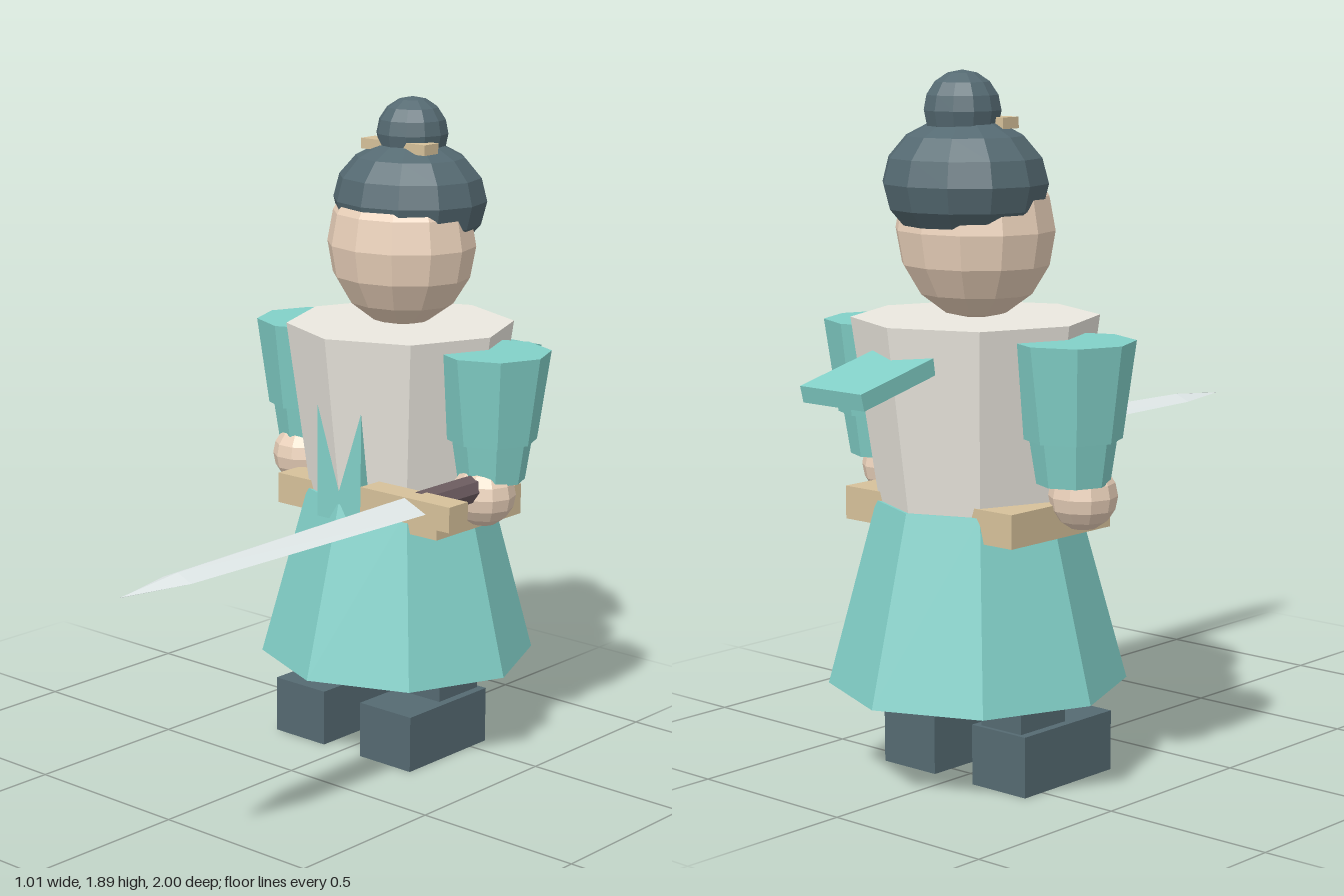
import * as THREE from 'three';

const CZ = -0.468; // z of the body axis
const mat = (color) => new THREE.MeshStandardMaterial({ color, flatShading: true });

export function createModel() {
  const model = new THREE.Group();
  const teal = mat(0x82d0c8), slate = mat(0x556a72), skin = mat(0xebd2bb), cloth = mat(0xebe8df);
  const tan = mat(0xd6c19a), grip = mat(0x6c5c60), steel = mat(0xe0e8e8);

  const add = (name, geometry, material, x, y, z) => {
    const mesh = new THREE.Mesh(geometry, material);
    mesh.name = name;
    mesh.position.set(x, y, z);
    model.add(mesh);
    return mesh;
  };
  const box = (name, m, w, h, d, x, y, z) => add(name, new THREE.BoxGeometry(w, h, d), m, x, y, z);
  // eight-sided tapered tube between two heights
  const taper = (name, m, rTop, rBottom, yTop, yBottom, x) =>
    add(name, new THREE.CylinderGeometry(rTop, rBottom, yTop - yBottom, 8), m, x, (yTop + yBottom) / 2, CZ);
  const ball = (name, m, rx, ry, rz, x, y, z, cols = 12, rows = 8) =>
    add(name, new THREE.SphereGeometry(1, cols, rows).scale(rx, ry, rz), m, x, y, z);

  // robe
  taper('torso', cloth, 0.33, 0.26, 1.248, 0.75, 0);
  taper('skirt', teal, 0.268, 0.402, 0.755, 0.256, 0);
  box('belt', tan, 0.605, 0.09, 0.386, 0, 0.735, CZ);
  box('frontPanel', teal, 0.164, 0.36, 0.06, 0, 0.886, -0.232);
  const flap = box('backFlap', teal, 0.22, 0.045, 0.4, 0, 1.137, -0.8);
  flap.rotation.x = -0.24;

  // arms and legs, mirrored
  for (const [side, s] of [['left', 1], ['right', -1]]) {
    taper(side + 'Sleeve', teal, 0.164, 0.128, 1.212, 0.957, s * 0.343);
    taper(side + 'Cuff', teal, 0.114, 0.096, 0.957, 0.84, s * 0.343);
    ball(side + 'Hand', skin, 0.092, 0.092, 0.09, s * 0.345, 0.803, -0.432, 10, 8);
    box(side + 'Leg', slate, 0.142, 0.24, 0.175, s * 0.165, 0.28, CZ);
    box(side + 'Boot', slate, 0.19, 0.165, 0.347, s * 0.165, 0.0825, -0.394);
  }

  // head, hair and topknot
  ball('head', skin, 0.224, 0.238, 0.202, 0, 1.478, CZ);
  ball('hair', slate, 0.228, 0.174, 0.215, 0, 1.602, -0.504);
  ball('topknot', slate, 0.104, 0.104, 0.104, 0, 1.791, -0.512);
  box('hairpin', tan, 0.236, 0.03, 0.06, 0, 1.759, -0.455);

  // sword, pointing forward from the left hand
  const handle = add('swordHandle', new THREE.CylinderGeometry(0.041, 0.041, 0.32, 8), grip, 0.345, 0.828, -0.3);
  handle.rotation.x = Math.PI / 2;
  box('swordGuard', tan, 0.318, 0.072, 0.08, 0.344, 0.828, -0.122);
  add('swordBlade', bladeGeometry(), steel, 0.345, 0.829, 0);
  return model;
}

// Blade with a flat underside and a raised ridge, lofted along z to a point
function bladeGeometry() {
  const sections = [[-0.12, 0.077, 0.034], [0.8, 0.048, 0.02], [1, 0, 0.001]]; // z, half width, ridge height
  const rings = sections.map(([z, w, h]) => [[w, 0, z], [0, h, z], [-w, 0, z]]);
  const points = [...rings[0][0], ...rings[0][2], ...rings[0][1]];
  for (let i = 0; i < rings.length - 1; i++) {
    for (let j = 0; j < 3; j++) {
      const k = (j + 1) % 3;
      const [a, b, c, d] = [rings[i][j], rings[i][k], rings[i + 1][k], rings[i + 1][j]];
      points.push(...a, ...b, ...c, ...a, ...c, ...d);
    }
  }
  const geometry = new THREE.BufferGeometry();
  geometry.setAttribute('position', new THREE.Float32BufferAttribute(points, 3));
  geometry.computeVertexNormals();
  return geometry;
}
